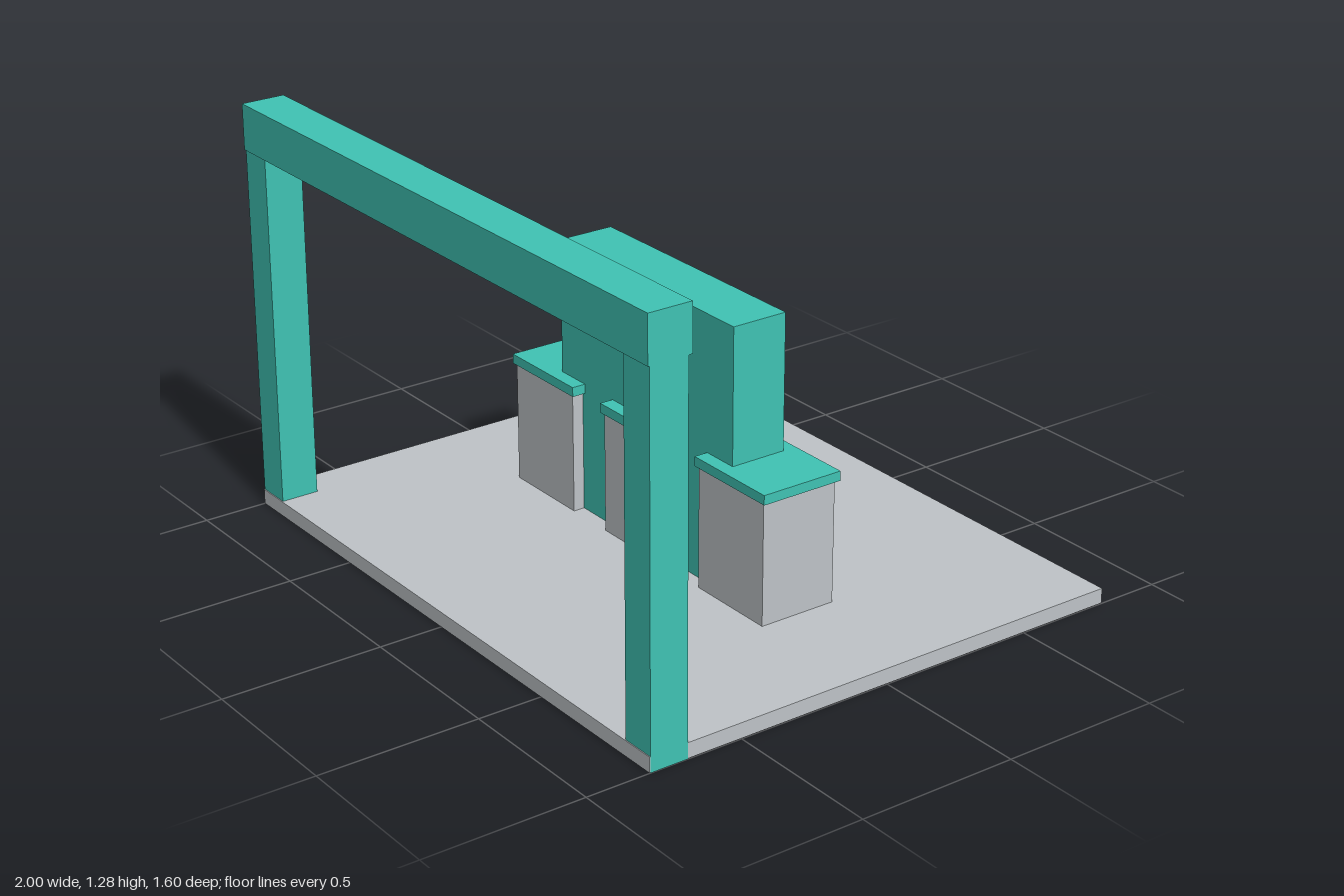
import * as THREE from 'three';

export function createModel() {
  const model = new THREE.Group();
  model.name = 'displayStand';
  const teal = new THREE.MeshStandardMaterial({ color: 0x40c4b4 });
  teal.name = 'teal';
  const grey = new THREE.MeshStandardMaterial({ color: 0xbfc4c8 });
  grey.name = 'lightGrey';

  // Box given by its extents along each axis
  function box(name, material, [x0, x1], [y0, y1], [z0, z1]) {
    const mesh = new THREE.Mesh(new THREE.BoxGeometry(x1 - x0, y1 - y0, z1 - z0), material);
    mesh.position.set((x0 + x1) / 2, (y0 + y1) / 2, (z0 + z1) / 2);
    mesh.name = name;
    model.add(mesh);
  }

  // Floor; posts and wall pass through it and sit a hair proud of its faces
  box('floor', grey, [-0.999, 0.999], [0.001, 0.048], [-0.8, 0.8]);

  // Front gateway: two posts and a slightly deeper beam
  box('rightPost', teal, [-1, -0.89], [0, 1.145], [0.677, 0.797]);
  box('leftPost', teal, [0.89, 1], [0, 1.145], [0.677, 0.797]);
  box('beam', teal, [-1, 1], [1.143, 1.284], [0.665, 0.802]);

  // Central back wall
  box('wall', teal, [-0.42, 0.417], [0, 0.88], [-0.093, 0.088]);

  // Three counters with overhanging tops
  for (const [side, x] of [['right', -0.461], ['middle', -0.002], ['left', 0.458]]) {
    box(side + 'Counter', grey, [x - 0.148, x + 0.148], [0.04, 0.43], [-0.126, 0.125]);
    box(side + 'CounterTop', teal, [x - 0.159, x + 0.159], [0.428, 0.458], [-0.137, 0.132]);
  }
  return model;
}
